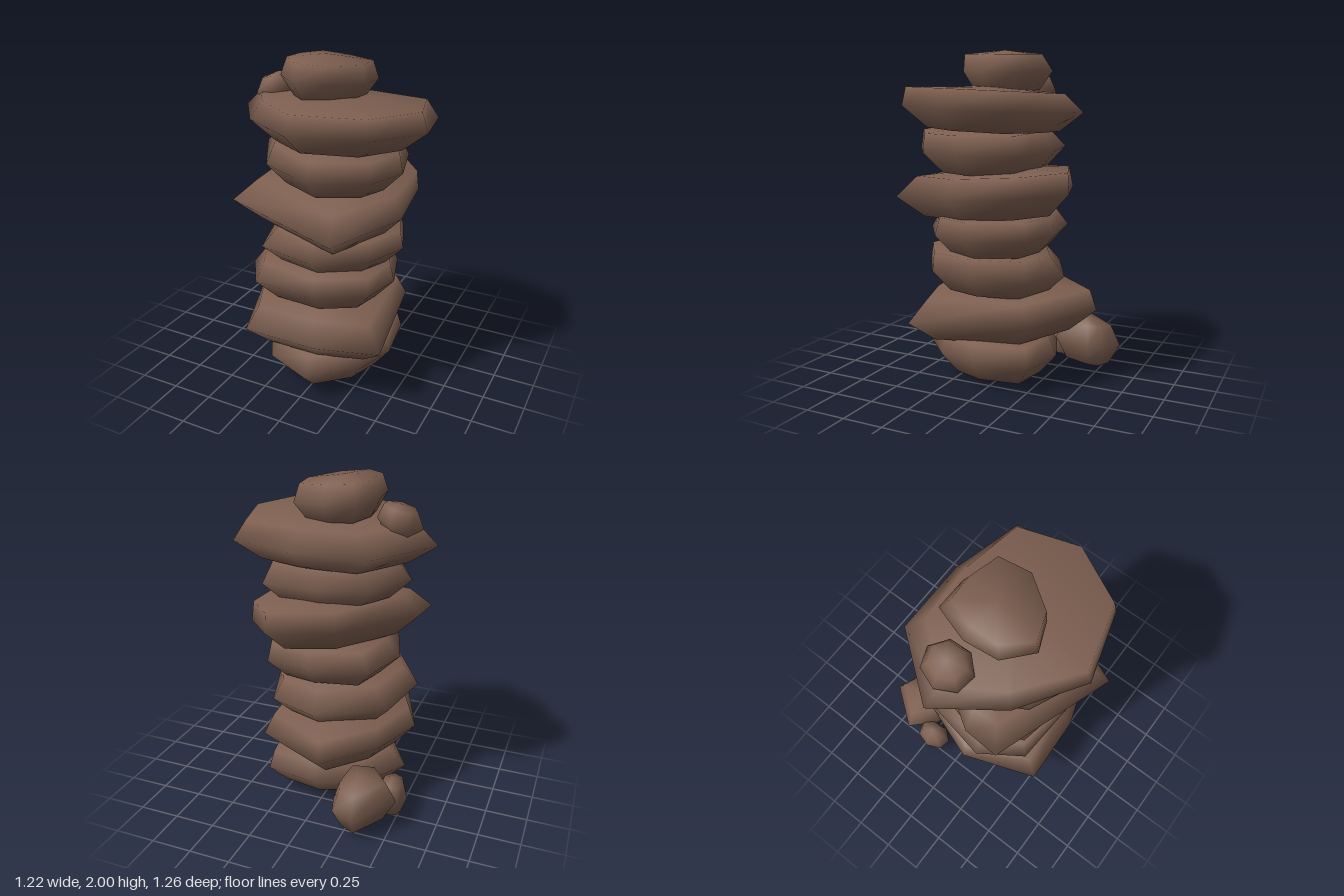
import * as THREE from 'three';

const brown = new THREE.MeshStandardMaterial({ color: 0x7d5f50 });
brown.name = 'brownStone';

const toPoints = o => Array.from({ length: o.length / 2 }, (_, k) => new THREE.Vector2(o[2 * k], o[2 * k + 1]));

// One worn stone: an underside ring, a widest ring and a top ring, closed by slightly domed caps.
// The outline runs clockwise seen from above. lean is the side where the shoulder is fuller,
// tilt the rise of the whole stone along x and z.
function stone(name, outline, y0, y1, { low = 0.73, top = 0.87, lean = [0, 0], tilt = [0, 0] }) {
  const n = outline.length;
  const centre = outline.reduce((s, p) => s.add(p), new THREE.Vector2()).divideScalar(n);
  const leanBy = new THREE.Vector2(...lean), tiltBy = new THREE.Vector2(...tilt);
  const h = y1 - y0;
  const pos = [], index = [];
  const ring = (height, scale) => outline.forEach(p => {
    const d = p.clone().sub(centre);
    d.multiplyScalar(scale(d.clone().normalize()));
    pos.push(centre.x + d.x, height + tiltBy.dot(d), centre.y + d.y);
  });
  ring(y0 + h * 0.09, () => low);
  ring(y0 + h * 0.52, () => 1);
  ring(y1 - h * 0.09, d => top + leanBy.dot(d));
  pos.push(centre.x, y0, centre.y, centre.x, y1, centre.y);
  for (let i = 0; i < n; i++) {
    const j = (i + 1) % n;
    for (const r of [0, n]) {
      index.push(r + j, r + i, r + n + i, r + j, r + n + i, r + n + j);
    }
    index.push(3 * n, i, j, 3 * n + 1, 2 * n + j, 2 * n + i);
  }
  const g = new THREE.BufferGeometry();
  g.setAttribute('position', new THREE.Float32BufferAttribute(pos, 3));
  g.setIndex(index);
  g.computeVertexNormals();
  const mesh = new THREE.Mesh(g, brown);
  mesh.name = name;
  return mesh;
}

// Rounded seven-sided pebble
function pebble(name, x, z, rx, rz, y0, y1, tilt) {
  const outline = Array.from({ length: 7 }, (_, i) => {
    const a = (i / 7) * Math.PI * 2 + 0.4;
    return new THREE.Vector2(x + rx * Math.cos(a), z + rz * Math.sin(a));
  });
  return stone(name, outline, y0, y1, { low: 0.62, top: 0.74, tilt });
}

// Resting height of each slab, then the height the last one would carry
const levels = [0.02, 0.265, 0.535, 0.78, 1.005, 1.265, 1.505, 1.74, 1.955];
const leans = [[0.08, 0], [-0.04, -0.06], [0.07, 0.08], [0.08, -0.02], [0.05, -0.1], [0.07, 0.08], [0.05, 0.07], [0.07, 0.07]];
const tilts = [[0, 0], [-0.04, -0.03], [0, 0.05], [-0.02, 0], [-0.04, -0.06], [-0.05, 0.02], [0, 0.05], [-0.07, 0.03]];

// Slab outlines from the ground up, as x, z corners
const outlines = [
  [-0.46, 0.05, -0.27, -0.23, 0.02, -0.34, 0.34, -0.29, 0.39, 0.04, 0.3, 0.3, 0.05, 0.53, -0.25, 0.41],
  [-0.5, 0.1, -0.37, -0.26, -0.1, -0.55, 0.36, -0.3, 0.48, 0.42, 0.12, 0.54, -0.33, 0.56],
  [-0.48, 0.2, -0.4, -0.19, 0, -0.38, 0.3, -0.28, 0.41, 0.05, 0.36, 0.32, 0.1, 0.49, -0.31, 0.46],
  [-0.4, 0.05, -0.31, -0.28, 0.05, -0.34, 0.33, -0.28, 0.46, 0.05, 0.36, 0.3, 0.08, 0.49, -0.28, 0.42],
  [-0.49, 0.15, -0.15, -0.37, 0.23, -0.49, 0.42, -0.28, 0.48, 0.15, 0.27, 0.63, -0.5, 0.37],
  [-0.47, 0, -0.3, -0.26, 0, -0.31, 0.36, -0.25, 0.46, 0.1, 0.38, 0.36, 0.1, 0.55, -0.24, 0.4],
  [-0.61, 0, -0.32, -0.37, 0.12, -0.37, 0.53, -0.26, 0.61, 0.14, 0.41, 0.48, 0, 0.6, -0.36, 0.36],
  [-0.2, -0.21, 0, -0.21, 0.2, -0.14, 0.21, 0.07, 0.07, 0.26, -0.1, 0.33, -0.25, 0.2, -0.27, 0],
];
const baseRockOutline = [-0.34, -0.63, -0.2, -0.57, -0.17, -0.47, -0.2, -0.25, -0.38, -0.22, -0.53, -0.38];

export function createModel() {
  const model = new THREE.Group();
  model.name = 'stoneStack';

  // Stacked slabs, each sinking a little into the next
  outlines.forEach((o, i) => {
    const name = i === 7 ? 'capStone' : `slab${i + 1}`;
    model.add(stone(name, toPoints(o), levels[i], levels[i + 1] + 0.045, { lean: leans[i], tilt: tilts[i] }));
  });

  // Loose stones beside the stack
  model.add(
    pebble('upperPebble', -0.39, -0.01, 0.13, 0.15, 1.67, 1.865, [0.25, 0]),
    stone('baseRock', toPoints(baseRockOutline), 0.03, 0.34, { low: 0.66, top: 0.72, tilt: [0, 0.12] }),
    pebble('basePebble', -0.46, -0.215, 0.09, 0.12, 0, 0.24, [0.1, 0]),
  );
  return model;
}
